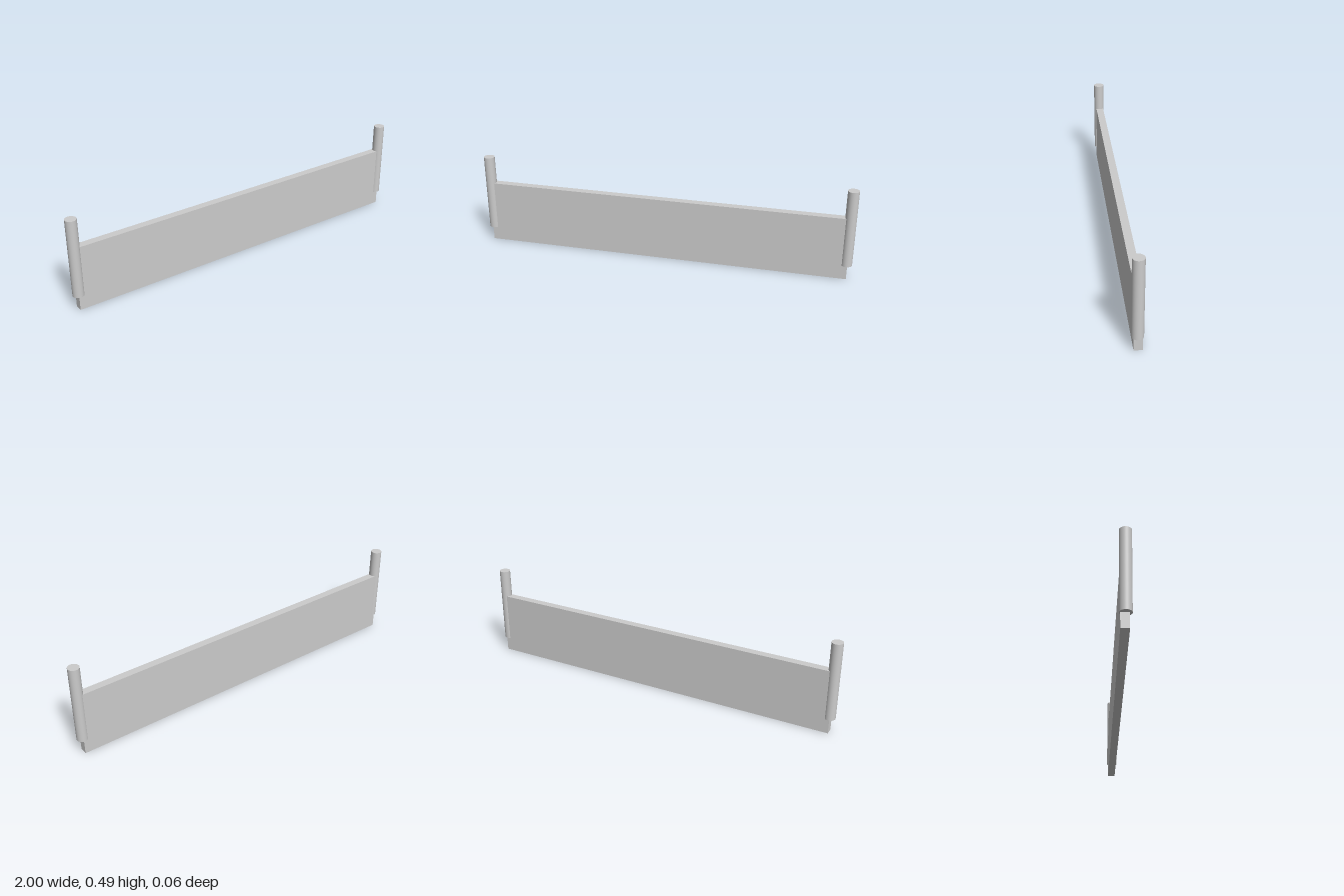
import * as THREE from 'three';

export function createModel() {
  const model = new THREE.Group();
  model.name = 'panelWithPosts';
  const material = new THREE.MeshStandardMaterial({ color: 0xcccccc });

  // Long upright board, set slightly behind the post axis
  const panelHeight = 0.338;
  const panel = new THREE.Mesh(new THREE.BoxGeometry(1.952, panelHeight, 0.041), material);
  panel.name = 'panel';
  panel.position.set(0, panelHeight / 2, -0.003);
  model.add(panel);

  // Round post at each end, raised above the ground
  const radius = 0.029, bottom = 0.075, top = 0.486;
  const postGeometry = new THREE.CylinderGeometry(radius, radius, top - bottom, 32);
  for (const [name, side] of [['leftPost', 1], ['rightPost', -1]]) {
    const post = new THREE.Mesh(postGeometry, material);
    post.name = name;
    post.position.set(side * (1 - radius), (top + bottom) / 2, 0);
    model.add(post);
  }

  return model;
}
